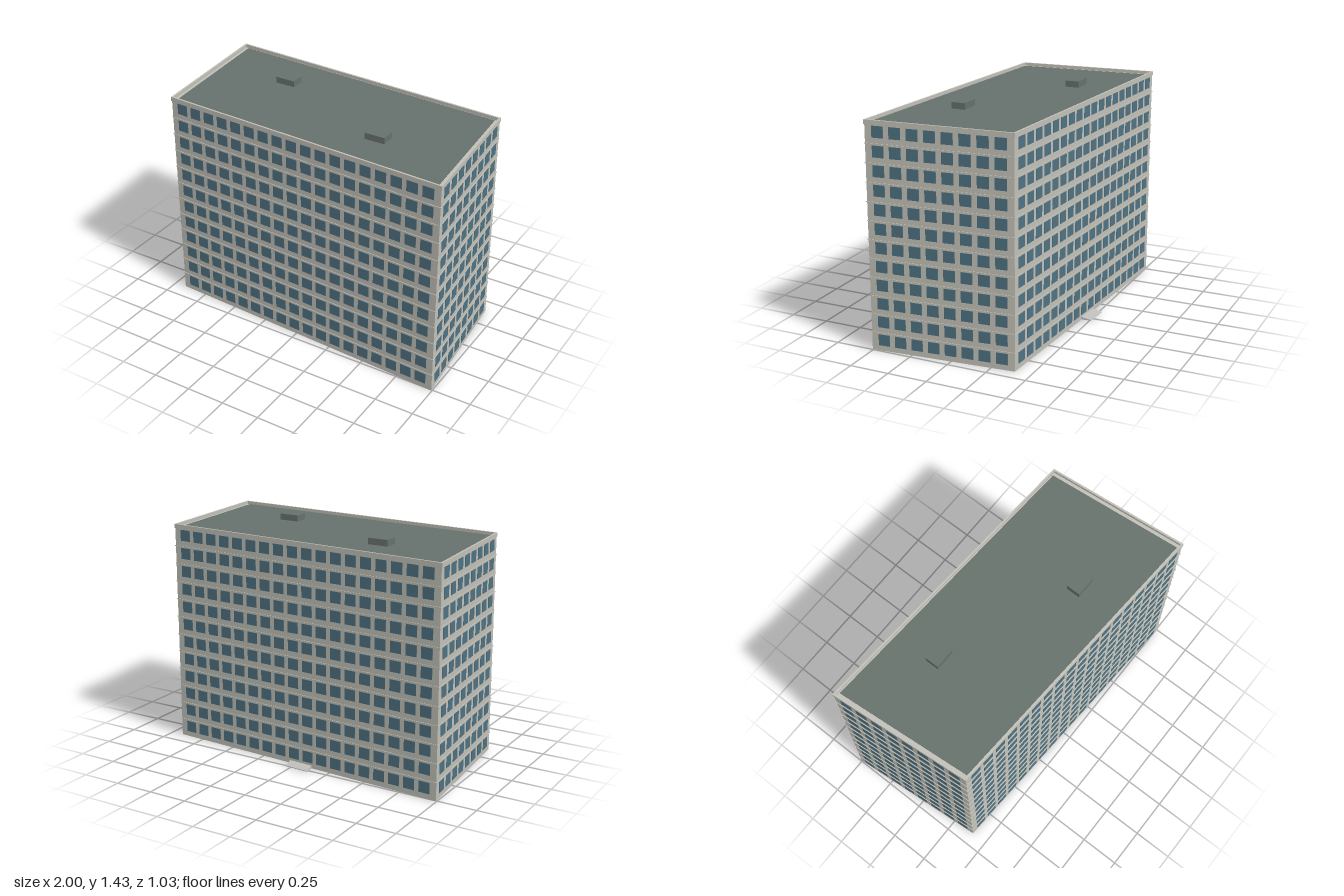
import * as THREE from 'three';

const W = 0.958, D = 0.452;          // half width and half depth before the skew
const FLOORS = 12, STOREY = 0.1158, TOP = FLOORS * STOREY;
const LIP = 0.004;                   // how far ledges and parapet stand out

// Skew that turns the rectangular plan into a parallelogram
const SKEW = new THREE.Matrix4().set(
  1, 0, 0.084, 0,
  0, 1, 0, 0,
  0.057, 0, 1, 0,
  0, 0, 0, 1);

export function createModel() {
  const model = new THREE.Group();
  model.name = 'apartmentBlock';

  const mat = (name, color) => {
    const m = new THREE.MeshStandardMaterial({ color });
    m.name = name;
    return m;
  };
  const wall = mat('wall', 0xc2c1b8);
  const glass = mat('glass', 0x4f7282);
  const roofing = mat('roofing', 0x66716c);
  const concrete = mat('concrete', 0xbebebb);

  const add = (parent, name, geometry, material) => {
    const mesh = new THREE.Mesh(geometry, material);
    mesh.name = name;
    parent.add(mesh);
    return mesh;
  };
  // Skewed box given its size and centre
  const box = (parent, name, material, w, h, d, x, y, z) =>
    add(parent, name, new THREE.BoxGeometry(w, h, d).translate(x, y, z).applyMatrix4(SKEW), material);
  const group = (name) => {
    const g = new THREE.Group();
    g.name = name;
    model.add(g);
    return g;
  };

  // Main body
  box(model, 'body', wall, 2 * W, TOP, 2 * D, 0, TOP / 2, 0);

  // Thin ledge at every floor line
  const ledges = group('floorLedges');
  for (let k = 1; k < FLOORS; k++)
    box(ledges, 'ledge', wall, 2 * (W + LIP), 0.005, 2 * (D + LIP), 0, k * STOREY - 0.002, 0);

  // Windows on all four sides
  const windows = group('windows');
  const T = 0.003;
  for (let f = 0; f < FLOORS; f++) {
    const y = f * STOREY + 0.0685;
    for (const s of [-1, 1]) {
      for (let i = 0; i < 18; i++)
        box(windows, 'window', glass, 0.074, 0.07, T, (i - 8.5) * 0.1032, y, s * (D + T / 2 - 0.0005));
      for (let i = 0; i < 8; i++)
        box(windows, 'window', glass, T, 0.07, 0.072, s * (W + T / 2 - 0.0005), y, (i - 3.5) * 0.1065);
    }
  }

  // Parapet around the roof
  const parapet = group('parapet');
  const PH = 0.026, PT = 0.012, py = 1.41 - PH / 2;
  for (const s of [-1, 1]) {
    box(parapet, 'longParapet', wall, 2 * (W + LIP), PH, PT, 0, py, s * (D + LIP - PT / 2));
    box(parapet, 'shortParapet', wall, PT, PH, 2 * (D + LIP - PT), s * (W + LIP - PT / 2), py, 0);
  }

  // Dark roof covering, leaving a pale margin inside the parapet
  box(model, 'roof', roofing, 2 * (W - 0.03), 0.004, 2 * (D - 0.016), 0, TOP + 0.001, 0);

  // Two square-set roof vents
  for (const [x, z] of [[-0.442, -0.185], [0.415, 0.18]])
    add(model, 'roofVent', new THREE.BoxGeometry(0.132, 0.042, 0.09).translate(x, 1.411, z), roofing);

  // Sloping entrance ramp at the back
  const profile = new THREE.Shape([
    new THREE.Vector2(D - 0.002, 0), new THREE.Vector2(0.513, 0),
    new THREE.Vector2(0.513, 0.004), new THREE.Vector2(D - 0.002, 0.018)]);
  const ramp = new THREE.ExtrudeGeometry(profile, { depth: 0.16, bevelEnabled: false })
    .translate(0, 0, -0.08).rotateY(Math.PI / 2).applyMatrix4(SKEW);
  add(model, 'entranceRamp', ramp, concrete);

  return model;
}
